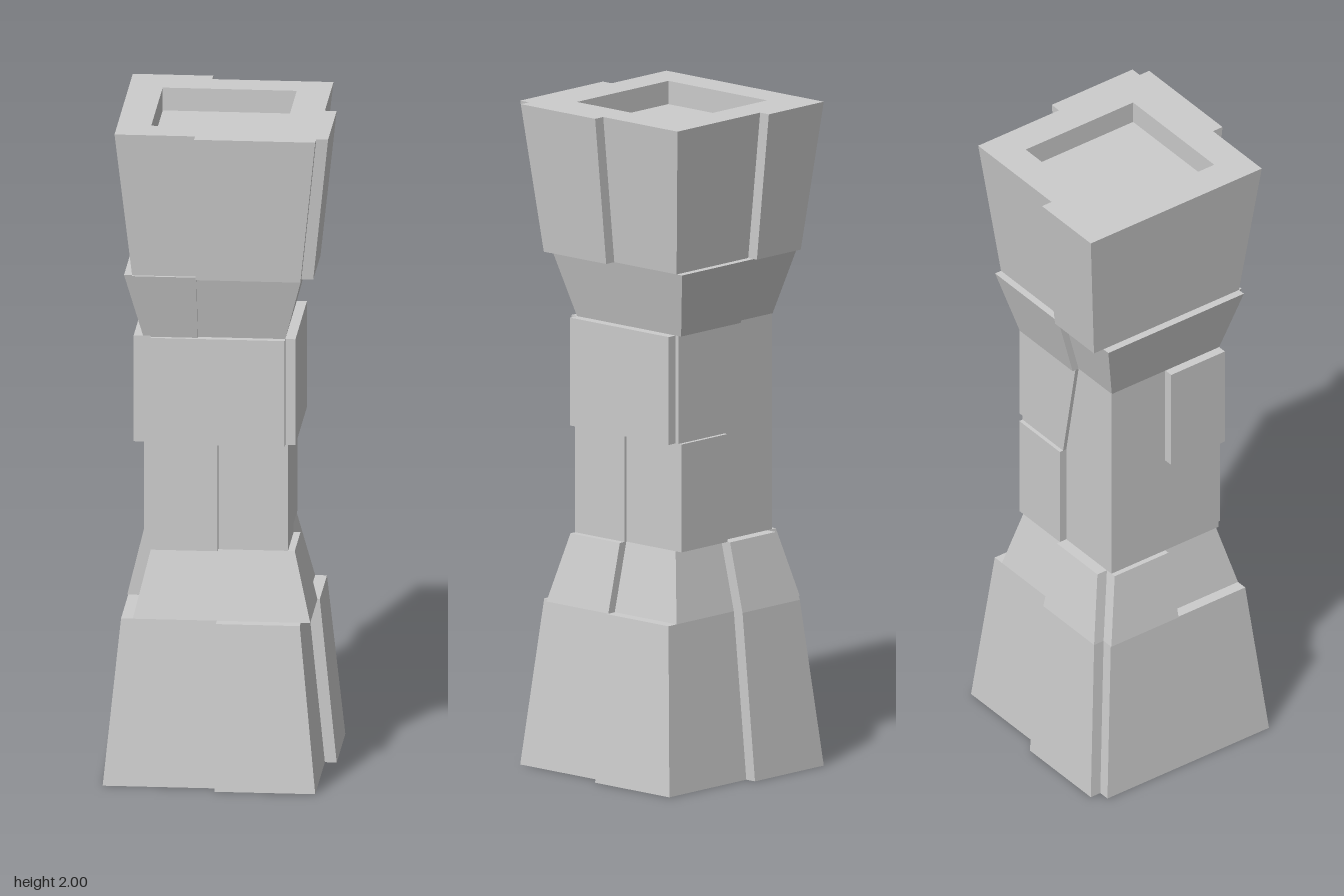
import * as THREE from 'three';

const material = new THREE.MeshStandardMaterial({ color: 0xcccccc, flatShading: true });

// Core silhouette as [height, half width]
const PROFILE = [[0, 0.298], [0.5, 0.248], [0.705, 0.198], [1.355, 0.198], [1.555, 0.25], [2, 0.298]];

// Half width of the core at any height
function halfWidth(y) {
  const i = Math.max(1, PROFILE.findIndex((p) => p[0] >= y));
  const [y0, w0] = PROFILE[i - 1];
  const [y1, w1] = PROFILE[i];
  return THREE.MathUtils.mapLinear(y, y0, y1, w0, w1);
}

// Lofts rectangular cross-sections [y, x0, x1, z0, z1] and caps both ends
function loft(name, levels) {
  const positions = [];
  const quad = (a, b, c, d) => [a, b, c, a, c, d].forEach((p) => positions.push(...p));
  const rings = levels.map(([y, x0, x1, z0, z1]) => [[x0, y, z1], [x1, y, z1], [x1, y, z0], [x0, y, z0]]);
  for (let i = 0; i < rings.length - 1; i++) {
    for (let k = 0; k < 4; k++) {
      const n = (k + 1) % 4;
      quad(rings[i][k], rings[i][n], rings[i + 1][n], rings[i + 1][k]);
    }
  }
  quad(...rings[0].slice().reverse());
  quad(...rings[rings.length - 1]);
  const geometry = new THREE.BufferGeometry();
  geometry.setAttribute('position', new THREE.Float32BufferAttribute(positions, 3));
  geometry.computeVertexNormals();
  const mesh = new THREE.Mesh(geometry, material);
  mesh.name = name;
  return mesh;
}

// Stone slab following the core on one side. It spans from..to across the face,
// clipped to the core's corners; lean shifts its starting edge at the top.
function slab(name, side, y0, y1, from, to, thickness, lean = 0) {
  const heights = [y0, ...PROFILE.map((p) => p[0]).filter((y) => y > y0 && y < y1), y1];
  return loft(name, heights.map((y) => {
    const w = halfWidth(y);
    const start = from + lean * (y - y0) / (y1 - y0);
    const span = [Math.max(start, -w), Math.min(to, w)];
    const positive = side === 'front' || side === 'left';
    const depth = positive ? [w - 0.05, w + thickness] : [-w - thickness, 0.05 - w];
    const alongX = side === 'front' || side === 'back';
    return alongX ? [y, ...span, ...depth] : [y, ...depth, ...span];
  }));
}

export function createModel() {
  const group = new THREE.Group();
  group.name = 'stonePillar';
  const EDGE = Infinity;
  const [BASE, FOOT, NECK, MID, COLLAR, CROWN, TOP] = [0, 0.5, 0.705, 1.03, 1.355, 1.555, 2];
  const SPLIT = -0.06;

  // Pillar core with a square recess sunk into the top
  const square = (y, w) => [y, -w, w, -w, w];
  group.add(loft('pillarCore', [
    ...PROFILE.map(([y, w]) => square(y, w)), square(TOP, 0.198), square(1.93, 0.198),
  ]));

  // Base slabs
  group.add(
    slab('baseFrontSlab', 'front', BASE, FOOT, 0, EDGE, 0.035),
    slab('baseLeftSlab', 'left', BASE, FOOT, -EDGE, 0, 0.035),
    slab('baseBackSlab', 'back', BASE, NECK, -EDGE, 0, 0.035),
    slab('baseRightSlab', 'right', BASE, FOOT, -EDGE, EDGE, 0.035),
    slab('baseRightUpperSlab', 'right', FOOT, NECK, -EDGE, 0, 0.038),
    slab('baseLeftUpperSlab', 'left', FOOT, NECK, 0, EDGE, 0.028),
  );

  // Neck slabs
  group.add(
    slab('neckFrontUpperSlab', 'front', MID, COLLAR, -EDGE, EDGE, 0.022),
    slab('neckFrontLowerSlab', 'front', NECK, MID, -EDGE, 0, 0.022),
    slab('neckLeftUpperSlab', 'left', MID, COLLAR, -EDGE, EDGE, 0.03),
    slab('neckLeftLowerSlab', 'left', NECK, MID, 0, EDGE, 0.008),
    slab('neckBackUpperSlab', 'back', MID, COLLAR, 0, EDGE, 0.012, SPLIT),
    slab('neckBackLowerSlab', 'back', NECK, MID, 0, EDGE, 0.024),
    slab('neckRightWall', 'right', NECK, COLLAR, -EDGE, EDGE, 0.022),
    slab('neckRightUpperSlab', 'right', MID, COLLAR, 0, EDGE, 0.052),
  );

  // Collar slabs
  group.add(
    slab('collarFrontSlab', 'front', COLLAR, CROWN, -EDGE, SPLIT, 0.01),
    slab('collarRightSlab', 'right', COLLAR, CROWN, -EDGE, EDGE, 0.024),
    slab('collarBackSlab', 'back', COLLAR, CROWN, SPLIT, EDGE, 0.022),
  );

  // Crown slabs
  group.add(
    slab('crownFrontSlab', 'front', CROWN, TOP, SPLIT, EDGE, 0.035),
    slab('crownLeftSlab', 'left', CROWN, TOP, 0, EDGE, 0.035),
    slab('crownBackSlab', 'back', CROWN, TOP, -EDGE, SPLIT, 0.035),
  );
  return group;
}
